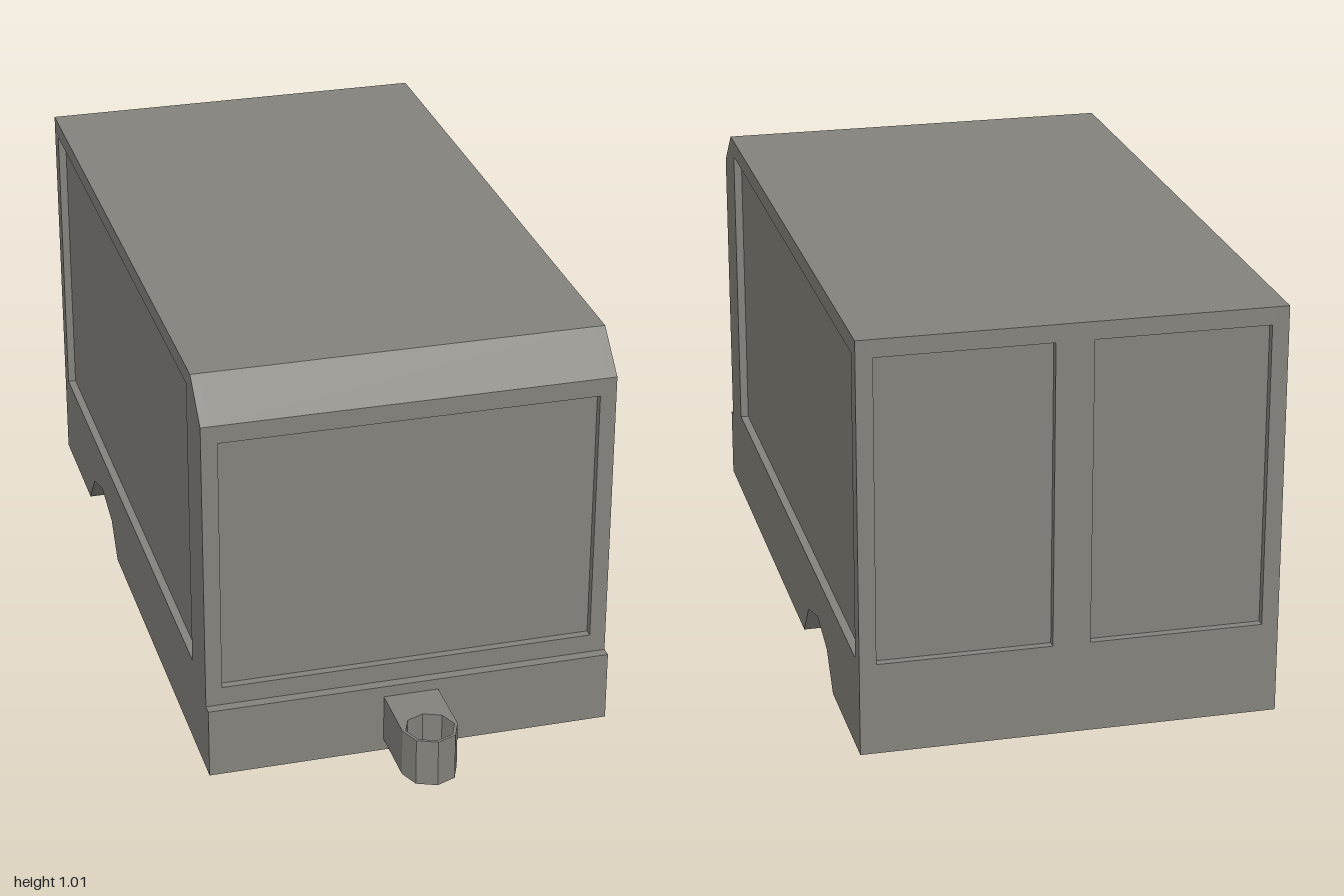
import * as THREE from 'three';

const DEPTH = 0.02; // panel recess
const HALF = 0.5;   // half width

const shapeOf = (pts) => new THREE.Shape(pts.map(([a, b]) => new THREE.Vector2(a, b)));
const rect = (x0, x1, y0, y1) => [[x0, y0], [x1, y0], [x1, y1], [x0, y1]];

function extrude(outline, depth, holes = []) {
  const shape = shapeOf(outline);
  for (const h of holes) shape.holes.push(new THREE.Path(h.map(([a, b]) => new THREE.Vector2(a, b))));
  return new THREE.ExtrudeGeometry(shape, { depth, bevelEnabled: false });
}

export function createModel() {
  const group = new THREE.Group();
  const grey = new THREE.MeshStandardMaterial({ color: 0x85837c });
  grey.name = 'warmGrey';

  const add = (name, geometry, x = 0, y = 0, z = 0) => {
    const mesh = new THREE.Mesh(geometry, grey);
    mesh.name = name;
    mesh.position.set(x, y, z);
    group.add(mesh);
  };

  // Side profile as (z, y): wheel arch along the bottom, then the front ledge
  const arch = [[-0.675, 0], [-0.605, 0.085], [-0.49, 0.12], [-0.37, 0.085], [-0.305, 0]];
  const ledge = [[0.775, 0], [0.775, 0.178]];
  const roof = [[0.75, 0.92], [0.655, 1.01]];
  const full = [[-1, 0], ...arch, ...ledge, [0.75, 0.178], ...roof, [-1, 1.01]];
  const inset = [[-1 + DEPTH, 0], ...arch, ...ledge, [0.75 - DEPTH, 0.178],
    [0.75 - DEPTH, 0.92], ...roof, [-1 + DEPTH, 1.01]];

  // Core body, whose faces form the floors of the recessed panels
  const inner = HALF - DEPTH;
  add('bodyCore', extrude(inset, 2 * inner).rotateY(-Math.PI / 2), inner);

  // Side frames around the long panels
  const sideHole = [rect(-0.955, 0.61, 0.225, 0.967)];
  for (const [name, x] of [['leftFrame', HALF], ['rightFrame', -inner]]) {
    add(name, extrude(full, DEPTH, sideHole).rotateY(-Math.PI / 2), x);
  }

  // Front frame with one panel, back frame with two
  add('frontFrame', extrude(rect(-inner, inner, 0.178, 0.92), DEPTH,
    [rect(-0.46, 0.46, 0.225, 0.875)]), 0, 0, 0.75 - DEPTH);
  add('backFrame', extrude(rect(-inner, inner, 0, 1.01), DEPTH,
    [rect(-0.46, -0.045, 0.225, 0.967), rect(0.045, 0.46, 0.225, 0.967)]), 0, 0, -1);

  // Tow hitch: bar ending in an eight-sided eye
  const eyeZ = 0.932;
  const ring = (r, from, to) => {
    const pts = [];
    for (let i = from; i <= to; i++) {
      const a = i * Math.PI / 4;
      pts.push([r * Math.cos(a), eyeZ + r * Math.sin(a)]);
    }
    return pts;
  };
  const bar = [[-0.068, 0.765], [0.068, 0.765], ...ring(0.068, 0, 4)];
  add('towHitch', extrude(bar, 0.12, [ring(0.06, 0, 7)]).rotateX(Math.PI / 2), 0, 0.15);

  return group;
}
